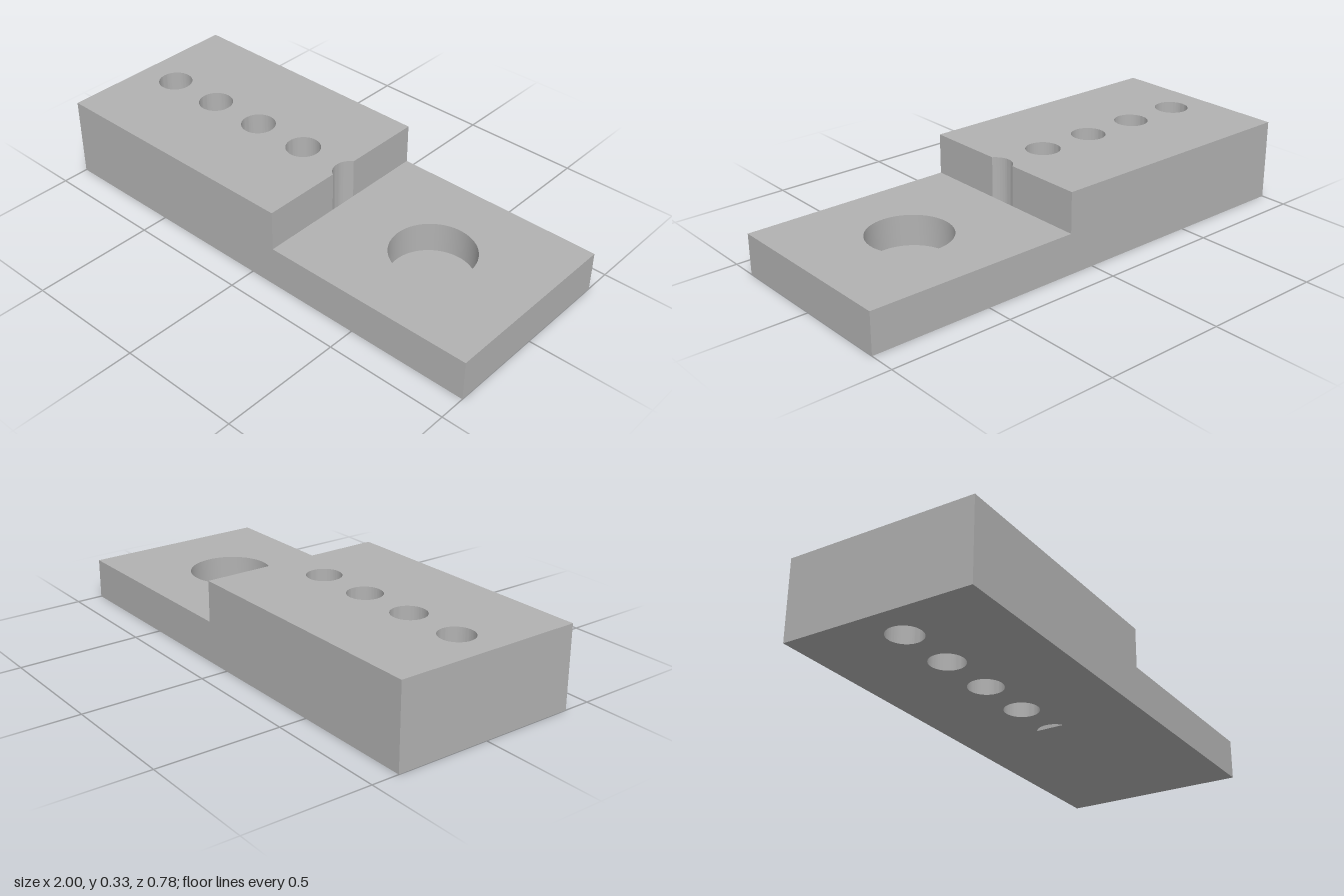
import * as THREE from 'three';
import { toCreasedNormals } from 'three/addons/utils/BufferGeometryUtils.js';

const HALF_WIDTH = 0.389;
const STEP_X = 0.111;        // where the tall block meets the thin slab
const TALL = 0.333;
const LOW = 0.167;
const POCKET_FLOOR = 0.04;   // thickness left under the blind pocket
const HOLE_R = 0.0695;
const HOLE_START = -0.833;
const HOLE_PITCH = 0.245;

// Plan outline extruded upwards from y0 to y1
function slab(name, shape, y0, y1, material) {
  const extruded = new THREE.ExtrudeGeometry(shape, { depth: y1 - y0, bevelEnabled: false, curveSegments: 48 });
  extruded.rotateX(-Math.PI / 2).translate(0, y0, 0);
  const mesh = new THREE.Mesh(toCreasedNormals(extruded, Math.PI / 6), material);
  mesh.name = name;
  return mesh;
}

function rectangle(x0, x1) {
  return new THREE.Shape()
    .moveTo(x0, -HALF_WIDTH)
    .lineTo(x1, -HALF_WIDTH)
    .lineTo(x1, HALF_WIDTH)
    .lineTo(x0, HALF_WIDTH)
    .closePath();
}

function drill(shape, x, radius) {
  shape.holes.push(new THREE.Path().absarc(x, 0, radius, 0, Math.PI * 2, true));
}

export function createModel() {
  const model = new THREE.Group();
  model.name = 'steppedPlate';
  const grey = new THREE.MeshStandardMaterial({ color: 0xb2b2b2 });
  grey.name = 'grey';

  // Tall block: the fifth hole of the row breaks out of the step as a notch
  const notchX = HOLE_START + 4 * HOLE_PITCH;
  const t = Math.acos((notchX - STEP_X) / HOLE_R);
  const block = new THREE.Shape();
  block.moveTo(-1, -HALF_WIDTH);
  block.lineTo(STEP_X, -HALF_WIDTH);
  block.absarc(notchX, 0, HOLE_R, Math.PI + t, Math.PI - t, true);
  block.lineTo(STEP_X, HALF_WIDTH);
  block.lineTo(-1, HALF_WIDTH);
  block.closePath();
  for (let i = 0; i < 4; i++) drill(block, HOLE_START + i * HOLE_PITCH, HOLE_R);
  model.add(slab('tallBlock', block, 0, TALL, grey));

  // Thin slab: a solid floor with the round pocket above it
  const pocketed = rectangle(STEP_X, 1);
  drill(pocketed, 0.555, 0.1675);
  model.add(slab('thinSlabFloor', rectangle(STEP_X, 1), 0, POCKET_FLOOR, grey));
  model.add(slab('thinSlabPocket', pocketed, POCKET_FLOOR, LOW, grey));

  return model;
}
